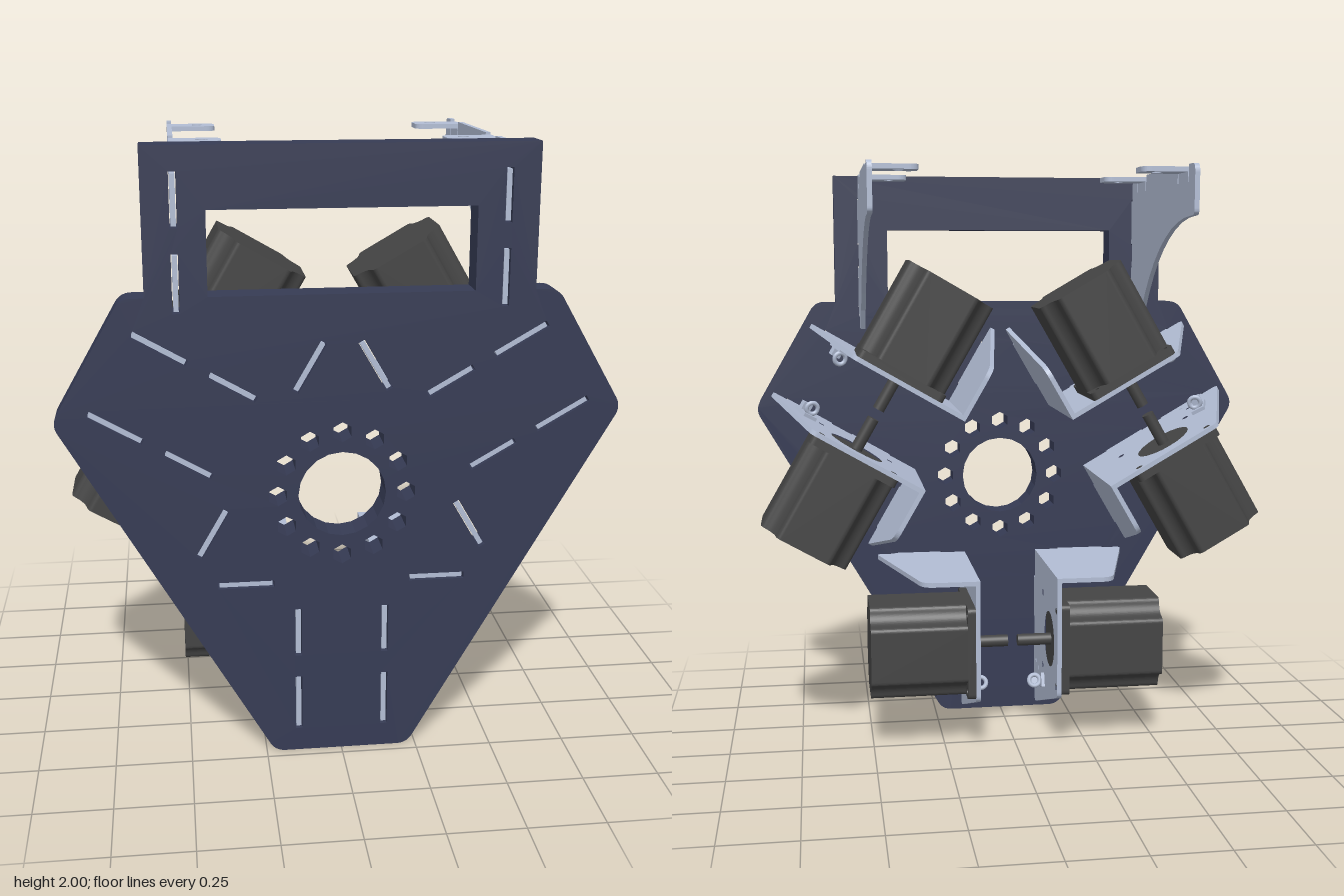
import * as THREE from 'three';

const navy = new THREE.MeshStandardMaterial({ color: 0x363b54 });
const steel = new THREE.MeshStandardMaterial({ color: 0xb2bdd4 });
const dark = new THREE.MeshStandardMaterial({ color: 0x444444 });

const CY = 0.905;           // height of the hub centre
const T = 0.016;            // sheet thickness
const BACK = 0.365, FRONT = 0.465;
const AX_Z = 0.04, AX_Y = 0.357; // motor axis in the lowest station

// Closed outline from [x, y, cornerLength] points, corners softened by a curve
function outline(points, Type = THREE.Shape) {
  const s = new Type();
  const n = points.length;
  points.forEach(([x, y, r = 0], i) => {
    const a = points[(i + n - 1) % n], b = points[(i + 1) % n];
    const toward = (q) => {
      const d = Math.hypot(q[0] - x, q[1] - y);
      return [x + ((q[0] - x) * r) / d, y + ((q[1] - y) * r) / d];
    };
    const p = toward(a), q = toward(b);
    if (i === 0) s.moveTo(...p); else s.lineTo(...p);
    if (r > 0) s.quadraticCurveTo(x, y, ...q);
  });
  s.closePath();
  return s;
}

const circle = (x, y, r) => new THREE.Path().absarc(x, y, r, 0, Math.PI * 2, true);
const spin = (x, y, a) => [x * Math.cos(a) - y * Math.sin(a), x * Math.sin(a) + y * Math.cos(a)];

function add(parent, name, geometry, material, x = 0, y = 0, z = 0) {
  const m = new THREE.Mesh(geometry, material);
  m.name = name;
  m.position.set(x, y, z);
  parent.add(m);
  return m;
}

const extrude = (shape, depth) =>
  new THREE.ExtrudeGeometry(shape, { depth, bevelEnabled: false, curveSegments: 10 });

// Outline drawn in (z, y), filling x0..x1
function panel(parent, name, shape, material, x0, x1) {
  add(parent, name, extrude(shape, x1 - x0), material, x1).rotation.y = -Math.PI / 2;
}

// Outline drawn in (x, z), filling y0..y1
function shelf(parent, name, shape, material, y0, y1) {
  add(parent, name, extrude(shape, y1 - y0), material, 0, y1).rotation.x = Math.PI / 2;
}

// Rod along x
function rod(parent, name, r, x0, x1, y, z, material) {
  add(parent, name, new THREE.CylinderGeometry(r, r, x1 - x0, 32), material, (x0 + x1) / 2, y, z)
    .rotation.z = Math.PI / 2;
}

// Four screw holes around the motor axis
function screwHoles(shape, cx, cy) {
  for (const i of [-1, 1]) for (const j of [-1, 1])
    shape.holes.push(circle(cx + i * 0.137, cy + j * 0.137, 0.012));
}

function basePlate() {
  const c = 0.035;
  // Six-sided body with a handle frame on its top edge
  const s = outline([
    [-0.222, 0, c], [0.222, 0, c], [0.895, 1.165, c], [0.673, 1.55, c], [0.6, 1.55], [0.6, 2],
    [-0.6, 2], [-0.6, 1.55], [-0.673, 1.55, c], [-0.895, 1.165, c],
  ]);
  s.holes.push(outline([[-0.41, 1.55], [-0.41, 1.81], [0.41, 1.81], [0.41, 1.55]], THREE.Path));
  s.holes.push(circle(0, CY, 0.14));
  // Ring of hexagonal holes
  for (let i = 0; i < 12; i++) {
    const [hx, hy] = spin(0.205, 0, (i * Math.PI) / 6);
    const hex = [];
    for (let k = 0; k < 6; k++) {
      const [x, y] = spin(0, 0.033, (-k * Math.PI) / 3);
      hex.push([hx + x, CY + hy + y]);
    }
    s.holes.push(outline(hex, THREE.Path));
  }
  // Slots for the sheet-metal tabs
  const slot = (cx, cy, w, h, a) => s.holes.push(outline(
    [[-w, -h], [-w, h], [w, h], [w, -h]].map(([x, y]) => {
      const [px, py] = spin(cx + x, cy - CY + y, a);
      return [px, py + CY];
    }), THREE.Path));
  for (const m of [-1, 1]) {
    for (let k = 0; k < 3; k++) {
      const a = (k * Math.PI * 2) / 3;
      slot(m * 0.142, 0.43, 0.011, 0.083, a);
      slot(m * 0.142, 0.175, 0.011, 0.095, a);
      slot(m * 0.31, 0.607, 0.09, 0.011, a);
    }
    slot(m * 0.505, 1.84, 0.011, 0.083, 0);
    slot(m * 0.505, 1.59, 0.011, 0.09, 0);
  }
  return extrude(s, FRONT - BACK);
}

function tab(parent, x, y, w, h) {
  const d = 0.092;
  add(parent, 'mountingTab', new THREE.BoxGeometry(w, h, d), steel, x, y, BACK + d / 2);
}

function motor() {
  const g = new THREE.Group();
  g.name = 'motor';
  const s = 0.1625;
  const flange = outline([[-s, -s, 0.02], [s, -s, 0.02], [s, s, 0.02], [-s, s, 0.02]]);
  screwHoles(flange, 0, 0);
  panel(g, 'motorFlange', flange, dark, 0.15, 0.178);
  // Square body with a scooped notch along each corner
  const pts = [];
  for (let k = 0; k < 4; k++)
    for (const [x, y, r] of [[s, 0.1, 0.015], [0.128, 0.108, 0.015], [0.108, 0.128, 0.015], [0.1, s, 0.015]])
      pts.push([...spin(x, y, (k * Math.PI) / 2), r]);
  panel(g, 'motorBody', outline(pts), dark, 0.178, 0.51);
  rod(g, 'motorBoss', 0.098, 0.138, 0.16, 0, 0, dark);
  rod(g, 'motorShaft', 0.021, 0.018, 0.15, 0, 0, dark);
  g.position.set(0, AX_Y, AX_Z);
  return g;
}

// Bent bracket carrying one motor
function motorMount() {
  const g = new THREE.Group();
  g.name = 'motorMount';
  const web = outline([
    [BACK, 0.615], [BACK, 0.025, 0.02], [0.34, 0.025, 0.015], [-0.122, 0.188, 0.02], [-0.122, 0.615],
  ]);
  web.holes.push(circle(AX_Z, AX_Y, 0.1), circle(0.33, 0.19, 0.008), circle(0.28, 0.175, 0.008));
  screwHoles(web, AX_Z, AX_Y);
  panel(g, 'bracketWeb', web, steel, 0.134, 0.15);
  const lip = outline([[0.134, BACK], [0.134, -0.122], [0.33, -0.122, 0.04], [0.465, BACK, 0.02]]);
  shelf(g, 'bracketFlange', lip, steel, 0.599, 0.615);
  tab(g, 0.142, 0.43, T, 0.155);
  tab(g, 0.142, 0.175, T, 0.18);
  tab(g, 0.31, 0.607, 0.17, T);

  // Small clip with an eye on the inner face
  const clip = new THREE.Group();
  clip.name = 'cableClip';
  add(clip, 'clipBase', new THREE.BoxGeometry(0.012, 0.05, 0.11), steel, 0.128, 0, 0);
  add(clip, 'clipBlock', new THREE.BoxGeometry(0.03, 0.034, 0.03), steel, 0.11, 0, 0.03);
  add(clip, 'clipEye', new THREE.TorusGeometry(0.02, 0.008, 8, 20), steel, 0.1, 0, -0.03);
  clip.position.set(0, 0.155, 0.19);
  clip.rotation.x = 0.34;
  g.add(clip, motor());
  return g;
}

// Curved arm behind the handle, with two ears folded inward
function hanger() {
  const g = new THREE.Group();
  g.name = 'hanger';
  const s = new THREE.Shape();
  s.moveTo(BACK, 1.46);
  s.lineTo(BACK, 2);
  for (const [a, b] of [[0.29, 0.16], [-0.26, -0.39]]) {
    s.lineTo(a, 2);
    s.lineTo(a, 1.945);
    s.lineTo(a - 0.008, 1.945);
    s.lineTo(a - 0.008, 1.985);
    s.lineTo(b + 0.008, 1.985);
    s.lineTo(b + 0.008, 1.945);
    s.lineTo(b, 1.945);
    s.lineTo(b, 2);
  }
  s.lineTo(-0.435, 2);
  s.quadraticCurveTo(-0.463, 2, -0.463, 1.97);
  s.lineTo(-0.463, 1.86);
  s.quadraticCurveTo(-0.463, 1.84, -0.44, 1.84);
  s.bezierCurveTo(-0.14, 1.84, 0.11, 1.69, 0.25, 1.46);
  panel(g, 'hangerArm', s, steel, 0.497, 0.513);
  for (const z of [0.225, -0.325]) {
    const e = 0.057;
    const ear = outline([[0.513, z - e], [0.513, z + e], [0.35, z + e, 0.03], [0.35, z - e, 0.03]]);
    ear.holes.push(circle(0.41, z, 0.019));
    shelf(g, 'hangerEar', ear, steel, 1.977, 1.993);
  }
  tab(g, 0.505, 1.84, T, 0.155);
  tab(g, 0.505, 1.59, T, 0.17);
  return g;
}

export function createModel() {
  const model = new THREE.Group();
  model.name = 'motorPlateAssembly';
  add(model, 'basePlate', basePlate(), navy, 0, 0, BACK);

  // Three stations around the hub, each with a mirrored pair of mounts
  for (let k = 0; k < 3; k++) {
    const station = new THREE.Group();
    station.name = 'motorStation';
    station.position.y = CY;
    station.rotation.z = (k * Math.PI * 2) / 3;
    for (const m of [-1, 1]) {
      const mount = motorMount();
      mount.position.y = -CY;
      mount.scale.x = m;
      station.add(mount);
    }
    model.add(station);
  }

  for (const m of [-1, 1]) {
    const h = hanger();
    h.scale.x = m;
    model.add(h);
  }
  return model;
}
